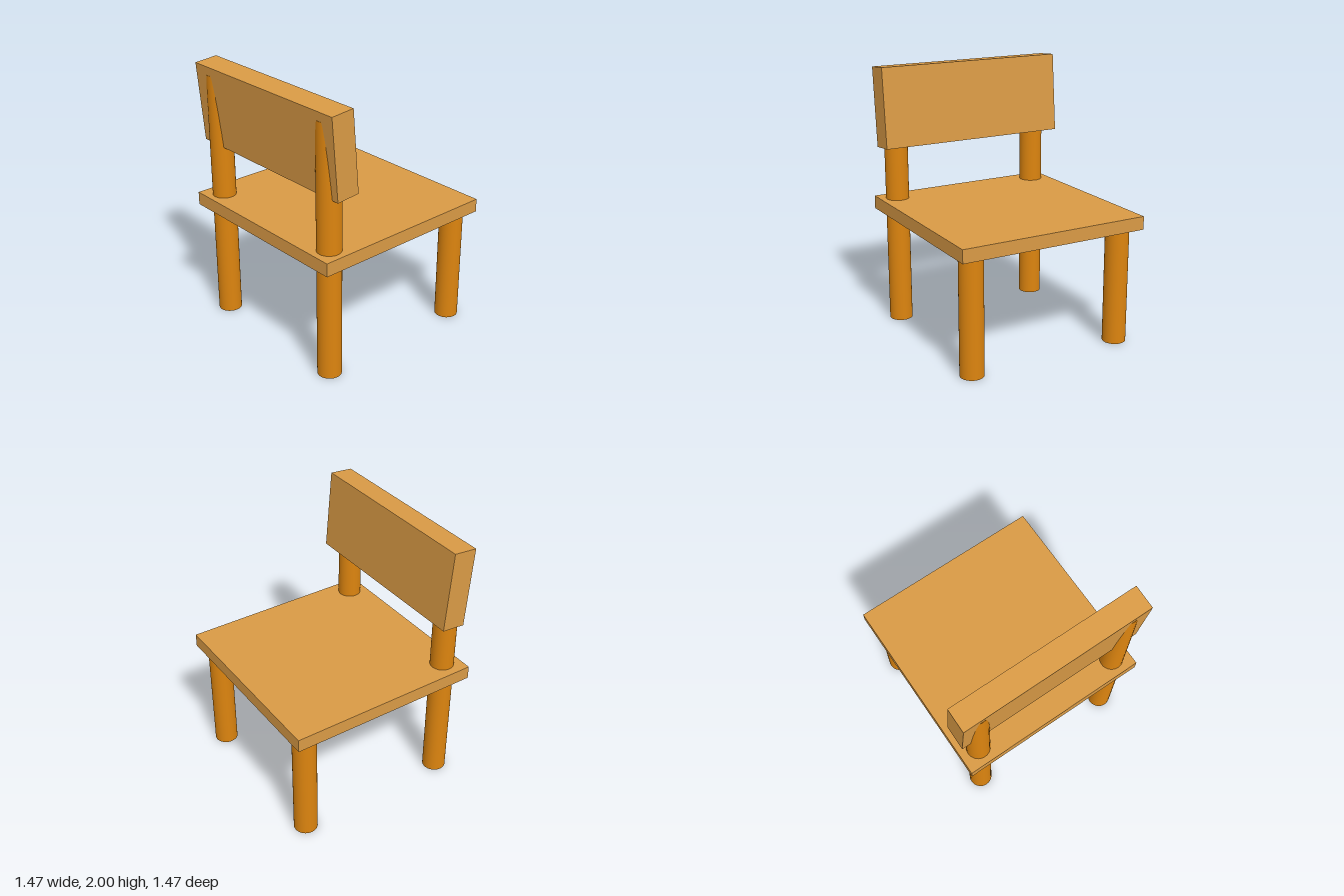
import * as THREE from 'three';

export function createModel() {
  const chair = new THREE.Group();
  chair.name = 'chair';
  const boardMat = new THREE.MeshStandardMaterial({ color: 0xd99a45 });
  const legMat = new THREE.MeshStandardMaterial({ color: 0xdc840f });

  function add(name, geometry, material, x, y, z) {
    const mesh = new THREE.Mesh(geometry, material);
    mesh.name = name;
    mesh.position.set(x, y, z);
    chair.add(mesh);
    return mesh;
  }

  // Flat square seat
  add('seat', new THREE.BoxGeometry(1.47, 0.1, 1.47), boardMat, 0, 0.93, 0);

  // Thick backrest, leaning back over the tall posts
  const backrest = add('backrest', new THREE.BoxGeometry(0.18, 0.602, 1.47), boardMat, -0.575, 1.693, 0);
  backrest.rotation.z = 0.083;

  // Round legs: short ones under the open edge, tall ones carrying the backrest
  const leg = (name, x, z, height) =>
    add(name, new THREE.CylinderGeometry(0.088, 0.088, height, 32), legMat, x, height / 2, z);
  leg('shortLegLeft', 0.605, -0.597, 0.9);
  leg('shortLegRight', 0.605, 0.607, 0.9);
  leg('tallLegLeft', -0.6, -0.588, 1.92);
  leg('tallLegRight', -0.6, 0.602, 1.92);

  return chair;
}
